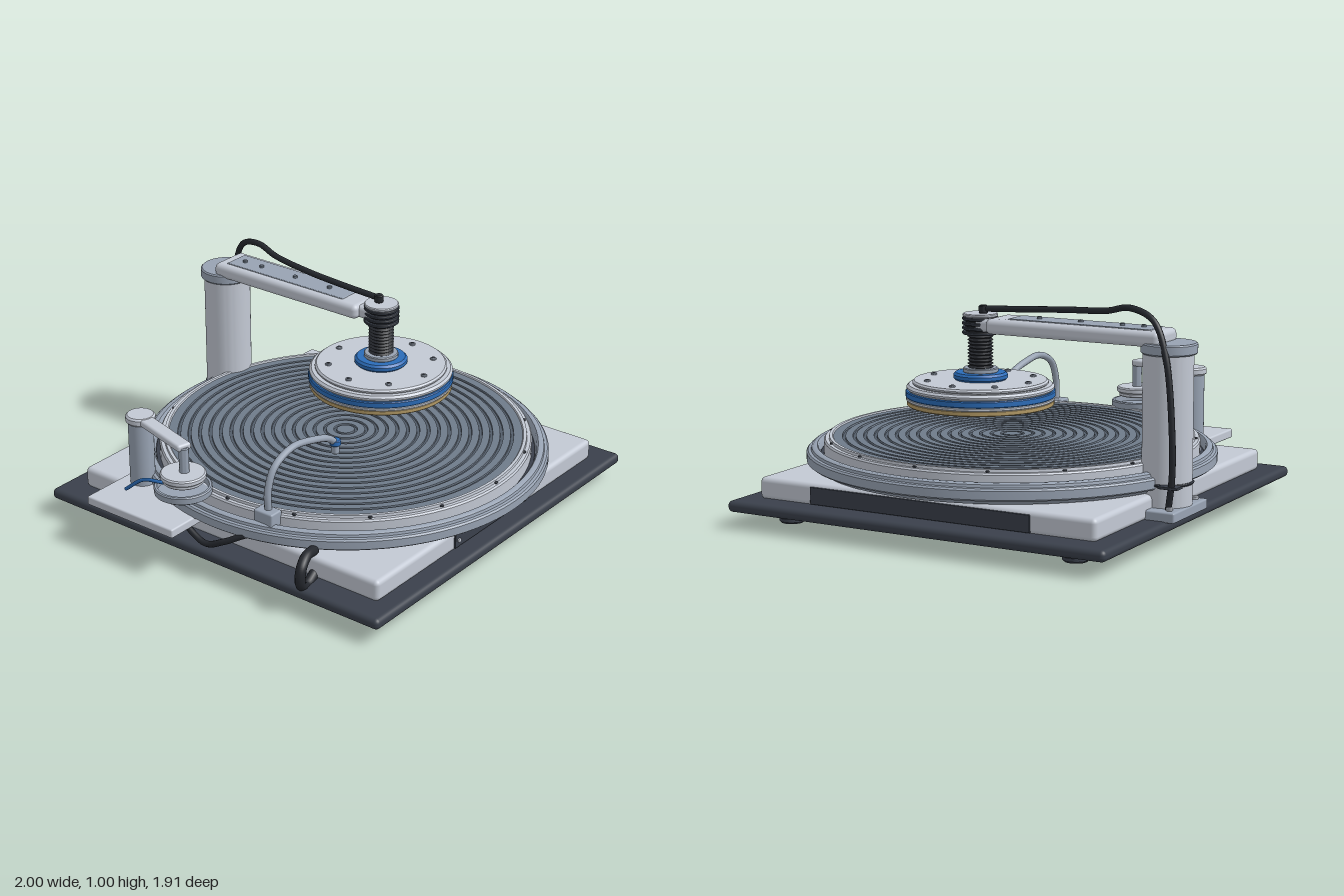
import * as THREE from 'three';
import { RoundedBoxGeometry } from 'three/addons/geometries/RoundedBoxGeometry.js';
import { toCreasedNormals } from 'three/addons/utils/BufferGeometryUtils.js';

const material = (name, color, extra = {}) => new THREE.MeshStandardMaterial({ name, color, ...extra });

export function createModel() {
  const root = new THREE.Group();
  root.name = 'polishingMachine';
  const light = material('light grey metal', 0xc3c9d4);
  const mid = material('blue grey metal', 0x98a3b3);
  const slate = material('slate pad', 0x6f7b8a);
  const groove = material('groove grey', 0x525c69);
  const dark = material('dark base', 0x3a404b);
  const rubber = material('black rubber', 0x25282e);
  const blue = material('blue', 0x2b6cb8);
  const gold = material('gold', 0xb39a66);

  const group = (name, x = 0, y = 0, z = 0) => {
    const g = new THREE.Group();
    g.name = name;
    g.position.set(x, y, z);
    root.add(g);
    return g;
  };
  const add = (parent, name, geo, mat, x = 0, y = 0, z = 0) => {
    const m = new THREE.Mesh(geo, mat);
    m.name = name;
    m.position.set(x, y, z);
    parent.add(m);
    return m;
  };
  // Box given by its low and high corners
  const box = (parent, name, mat, a, b, radius = 0.008) => {
    const s = b.map((v, i) => v - a[i]);
    return add(parent, name, new RoundedBoxGeometry(...s, 3, radius), mat, ...a.map((v, i) => v + s[i] / 2));
  };
  // Upright cylinder with a small bevel
  const disc = (parent, name, mat, r, y0, y1, x = 0, z = 0, seg = 64, bevel = 0.004) => lathe(parent, name, mat,
    [[0, y0], [r - bevel, y0], [r, y0 + bevel], [r, y1 - bevel], [r - bevel, y1], [0, y1]], x, z, seg);
  const lathe = (parent, name, mat, pts, x = 0, z = 0, seg = 96) => {
    const geo = new THREE.LatheGeometry(pts.map(p => new THREE.Vector2(...p)), seg);
    return add(parent, name, toCreasedNormals(geo, 0.6), mat, x, 0, z);
  };
  const tube = (parent, name, mat, r, pts, seg = 60) => {
    const path = new THREE.CatmullRomCurve3(pts.map(p => new THREE.Vector3(...p)));
    return add(parent, name, new THREE.TubeGeometry(path, seg, r, 10), mat);
  };
  const bolts = (parent, n, ring, r, y, mat) => {
    for (let i = 0; i < n; i++) {
      const a = (i / n) * Math.PI * 2;
      disc(parent, 'bolt', mat, r, y, y + 0.01, Math.cos(a) * ring, Math.sin(a) * ring, 10, 0.002);
    }
  };

  // Base, housing and feet
  const base = group('base');
  box(base, 'basePlate', dark, [-0.885, 0.07, -0.92], [0.995, 0.12, 0.92], 0.022);
  box(base, 'housing', light, [-0.765, 0.115, -0.82], [0.875, 0.213, 0.83], 0.022);
  for (const x of [-0.65, 0.76]) for (const z of [-0.67, 0.74]) {
    disc(base, 'footStem', mid, 0.032, 0.02, 0.075, x, z, 24);
    disc(base, 'footPad', dark, 0.057, 0, 0.03, x, z, 32, 0.008);
  }
  box(base, 'sidePanel', dark, [0.87, 0.122, -0.52], [0.881, 0.198, 0.56], 0.003);
  box(base, 'frontPanel', dark, [-0.22, 0.13, 0.824], [0.33, 0.194, 0.838], 0.003);
  for (const [x, r] of [[-0.195, 0.01], [0.305, 0.01], [0.25, 0.006], [0.27, 0.006]]) {
    const s = add(base, 'panelScrew', new THREE.CylinderGeometry(r, r, 0.008, 16), light, x, 0.162, 0.84);
    s.rotation.x = Math.PI / 2;
  }

  // Round pan, clamp ring and grooved pad
  const table = group('turntable', 0.055, 0, 0.03);
  disc(table, 'tableHub', dark, 0.6, 0.2, 0.225);
  lathe(table, 'pan', mid, [[0, 0.215], [0.87, 0.215], [0.89, 0.232], [0.91, 0.235], [0.92, 0.243], [0.92, 0.28],
    [0.913, 0.288], [0.9, 0.29], [0.897, 0.302], [0.888, 0.308], [0.872, 0.308], [0.865, 0.3], [0.86, 0.265], [0, 0.265]]);
  disc(table, 'gapFloor', dark, 0.859, 0.262, 0.27, 0, 0, 96, 0.002);
  lathe(table, 'clampRing', light, [[0.79, 0.265], [0.842, 0.265], [0.842, 0.33], [0.836, 0.338], [0.82, 0.338],
    [0.818, 0.35], [0.804, 0.35], [0.8, 0.345], [0.79, 0.265]]);
  bolts(table, 16, 0.821, 0.009, 0.335, dark);
  const rings = 17, step = 0.8 / rings, pad = [[0.8, 0.265], [0.8, 0.344]];
  for (let i = rings - 1; i > 0; i--) {
    const r = i * step;
    pad.push([r + 0.007, 0.344], [r + 0.006, 0.336], [r - 0.006, 0.336], [r - 0.007, 0.344]);
    const line = new THREE.RingGeometry(r - 0.006, r + 0.006, 96);
    add(table, 'grooveFloor', line, groove, 0, 0.3365, 0).rotation.x = -Math.PI / 2;
  }
  pad.push([0, 0.344]);
  lathe(table, 'groovedPad', slate, pad);

  // Rotating head
  const head = group('polishingHead', 0.257, 0, 0.075);
  disc(head, 'carrierPad', gold, 0.325, 0.506, 0.53);
  disc(head, 'carrierPlate', light, 0.328, 0.528, 0.544);
  disc(head, 'blueBand', blue, 0.33, 0.543, 0.572);
  disc(head, 'carrierBody', light, 0.326, 0.57, 0.598, 0, 0, 64, 0.01);
  disc(head, 'topCover', light, 0.3, 0.595, 0.617, 0, 0, 64, 0.008);
  bolts(head, 8, 0.24, 0.014, 0.615, mid);
  bolts(head, 8, 0.24, 0.008, 0.617, dark);
  disc(head, 'blueHub', blue, 0.12, 0.615, 0.65, 0, 0, 48, 0.01);
  disc(head, 'hubCollar', mid, 0.078, 0.648, 0.67, 0, 0, 40);
  const bellows = [[0, 0.665]];
  for (let i = 0; i <= 22; i++) bellows.push([i % 2 ? 0.057 : 0.046, 0.665 + i * 0.0075]);
  bellows.push([0, 0.83]);
  lathe(head, 'bellows', rubber, bellows, 0, 0, 40);
  disc(head, 'motorCore', rubber, 0.066, 0.82, 0.9, 0, 0, 40);
  for (let i = 0; i < 4; i++) disc(head, 'coolingFin', dark, 0.08, 0.818 + i * 0.021, 0.831 + i * 0.021, 0, 0, 40, 0.003);
  disc(head, 'motorCap', light, 0.078, 0.895, 0.91, 0, 0, 40);
  disc(head, 'cableSocket', rubber, 0.02, 0.908, 0.945, 0, -0.015, 20);

  // Rear column and overhead arm
  const support = group('overheadSupport');
  box(support, 'columnFoot', mid, [0.09, 0.115, -0.95], [0.425, 0.16, -0.74], 0.008);
  for (const x of [0.13, 0.385]) disc(support, 'footBolt', light, 0.015, 0.158, 0.175, x, -0.91, 12);
  disc(support, 'column', light, 0.108, 0.155, 0.81, 0.26, -0.838);
  disc(support, 'columnCap', mid, 0.12, 0.802, 0.85, 0.26, -0.842, 64, 0.006);
  disc(support, 'cableClamp', dark, 0.113, 0.25, 0.262, 0.26, -0.84);
  box(support, 'clampTab', dark, [0.34, 0.25, -0.95], [0.4, 0.262, -0.86], 0.003);
  box(support, 'arm', light, [0.16, 0.832, -0.835], [0.355, 0.9, 0.0], 0.025);
  box(support, 'armTip', light, [0.19, 0.835, -0.1], [0.325, 0.893, 0.07], 0.02);
  box(support, 'armCover', mid, [0.195, 0.894, -0.78], [0.322, 0.904, -0.1], 0.004);
  for (const z of [-0.72, -0.62, -0.42, -0.22]) disc(support, 'coverScrew', slate, 0.011, 0.902, 0.914, 0.255, z, 12, 0.002);
  tube(support, 'powerCable', rubber, 0.014, [[0.255, 0.93, 0.055], [0.253, 0.94, -0.15], [0.257, 0.952, -0.35],
    [0.285, 0.965, -0.56], [0.31, 0.988, -0.68], [0.345, 0.945, -0.81], [0.372, 0.8, -0.88], [0.387, 0.47, -0.92],
    [0.385, 0.3, -0.92], [0.375, 0.16, -0.9]], 100);

  // Side conditioner: shelf, post, swing arm and cleaning cup
  const side = group('conditioner');
  box(side, 'shelf', light, [-1, 0.203, -0.58], [-0.665, 0.245, -0.085], 0.008);
  disc(side, 'post', mid, 0.056, 0.24, 0.545, -0.742, -0.485, 40);
  disc(side, 'postCap', light, 0.066, 0.538, 0.575, -0.742, -0.485, 40, 0.008);
  const swing = new THREE.Vector2(-0.835 + 0.742, -0.155 + 0.485);
  const swingArm = add(side, 'swingArm', new RoundedBoxGeometry(0.07, 0.032, swing.length() + 0.03, 3, 0.012), light,
    -0.788, 0.556, -0.32);
  swingArm.rotation.y = Math.atan2(swing.x, swing.y);
  disc(side, 'spindle', mid, 0.022, 0.43, 0.555, -0.837, -0.15, 24);
  disc(side, 'conditionerDisc', light, 0.1, 0.412, 0.44, -0.842, -0.153, 48, 0.006);
  lathe(side, 'cleaningCup', mid, [[0, 0.335], [0.11, 0.335], [0.125, 0.345], [0.127, 0.372], [0.122, 0.377],
    [0.112, 0.377], [0.11, 0.35], [0, 0.35]], -0.842, -0.155, 56);
  disc(side, 'cupPad', light, 0.09, 0.395, 0.414, -0.842, -0.153, 48);
  tube(side, 'blueHose', blue, 0.008, [[-0.875, 0.385, -0.15], [-0.91, 0.393, -0.23], [-0.915, 0.375, -0.32], [-0.92, 0.3, -0.42]]);

  // Fluid delivery arm with nozzle
  const fluid = group('fluidArm');
  box(fluid, 'fluidBlock', mid, [-0.8, 0.29, 0.2], [-0.73, 0.36, 0.3], 0.008);
  tube(fluid, 'fluidTube', mid, 0.016, [[-0.76, 0.34, 0.25], [-0.762, 0.44, 0.25], [-0.72, 0.54, 0.252], [-0.61, 0.59, 0.256],
    [-0.48, 0.575, 0.262], [-0.37, 0.54, 0.268], [-0.33, 0.505, 0.27]]);
  disc(fluid, 'nozzleCap', blue, 0.025, 0.495, 0.522, -0.33, 0.271, 24);
  disc(fluid, 'nozzle', mid, 0.018, 0.455, 0.5, -0.33, 0.271, 24);

  // Drain hoses
  const drain = group('drainHoses');
  tube(drain, 'drainHose', rubber, 0.023, [[-0.74, 0.235, 0.48], [-0.82, 0.245, 0.5], [-0.87, 0.215, 0.515],
    [-0.878, 0.15, 0.515], [-0.83, 0.11, 0.505], [-0.74, 0.14, 0.49]]);
  tube(drain, 'supplyHose', rubber, 0.014, [[-0.87, 0.2, -0.12], [-0.882, 0.16, 0], [-0.875, 0.2, 0.1],
    [-0.83, 0.25, 0.2], [-0.78, 0.26, 0.27]]);
  return root;
}
